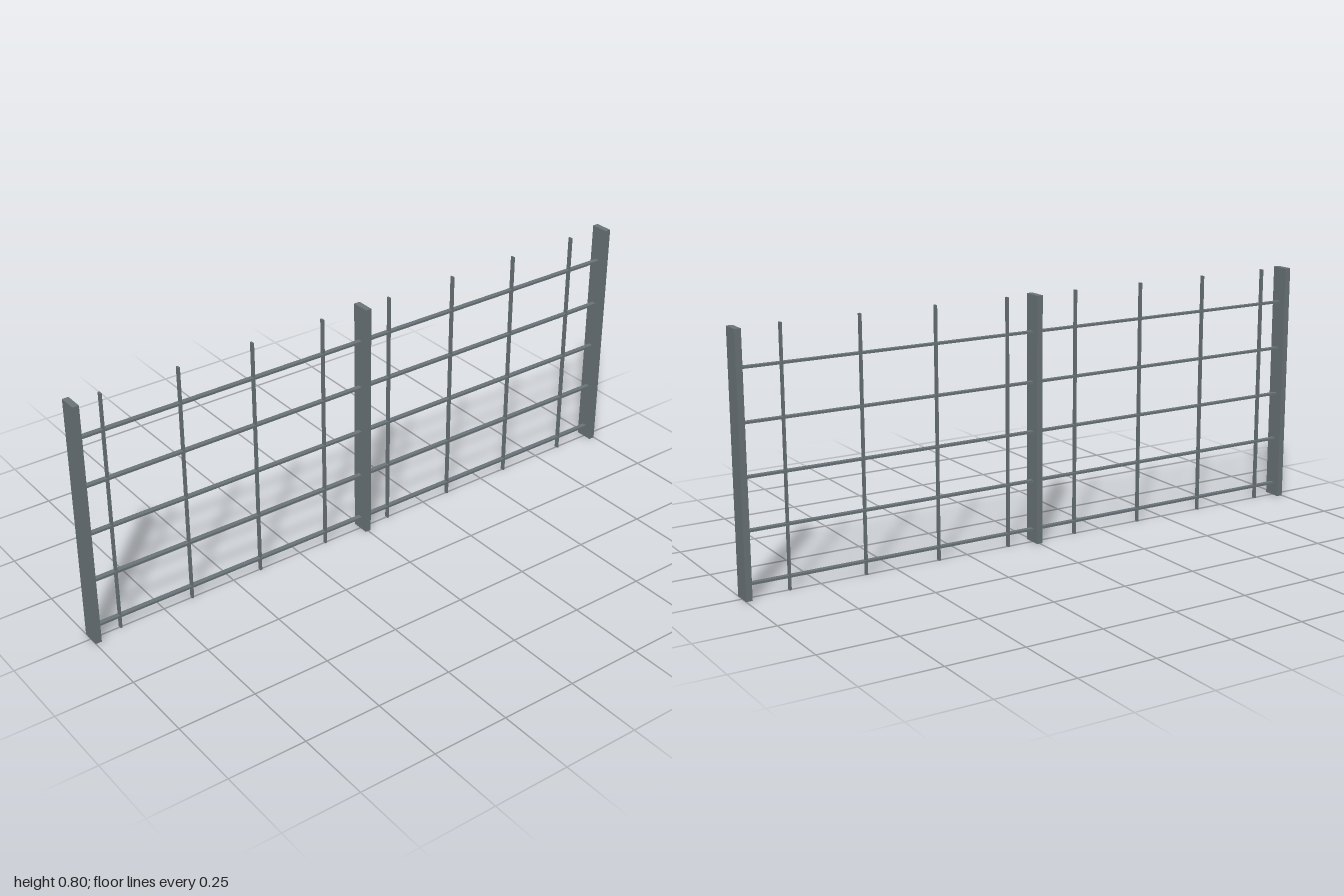
import * as THREE from 'three';

export function createModel() {
  const group = new THREE.Group();
  group.name = 'fence';
  const steel = new THREE.MeshStandardMaterial({ color: 0x6b757a });
  steel.name = 'grey steel';

  const bar = (name, w, h, d, x, y) => {
    const mesh = new THREE.Mesh(new THREE.BoxGeometry(w, h, d), steel);
    mesh.name = name;
    mesh.position.set(x, y, 0);
    group.add(mesh);
  };

  // Flat posts at both ends and in the middle
  [-0.99, 0, 0.99].forEach((x, i) => bar(`post${i + 1}`, 0.02, 0.8, 0.06, x, 0.4));

  // Five horizontal rails, interrupted by the middle post
  for (let i = 0; i < 5; i++) {
    for (const side of [-1, 1]) {
      bar(`${side > 0 ? 'left' : 'right'}Rail${i + 1}`, 0.97, 0.007, 0.016, side * 0.495, 0.043 + i * 0.16);
    }
  }

  // Eight thin uprights at an even spacing
  for (let i = 0; i < 8; i++) bar(`upright${i + 1}`, 0.006, 0.8, 0.013, -0.9 + i * 0.25, 0.4);

  return group;
}
